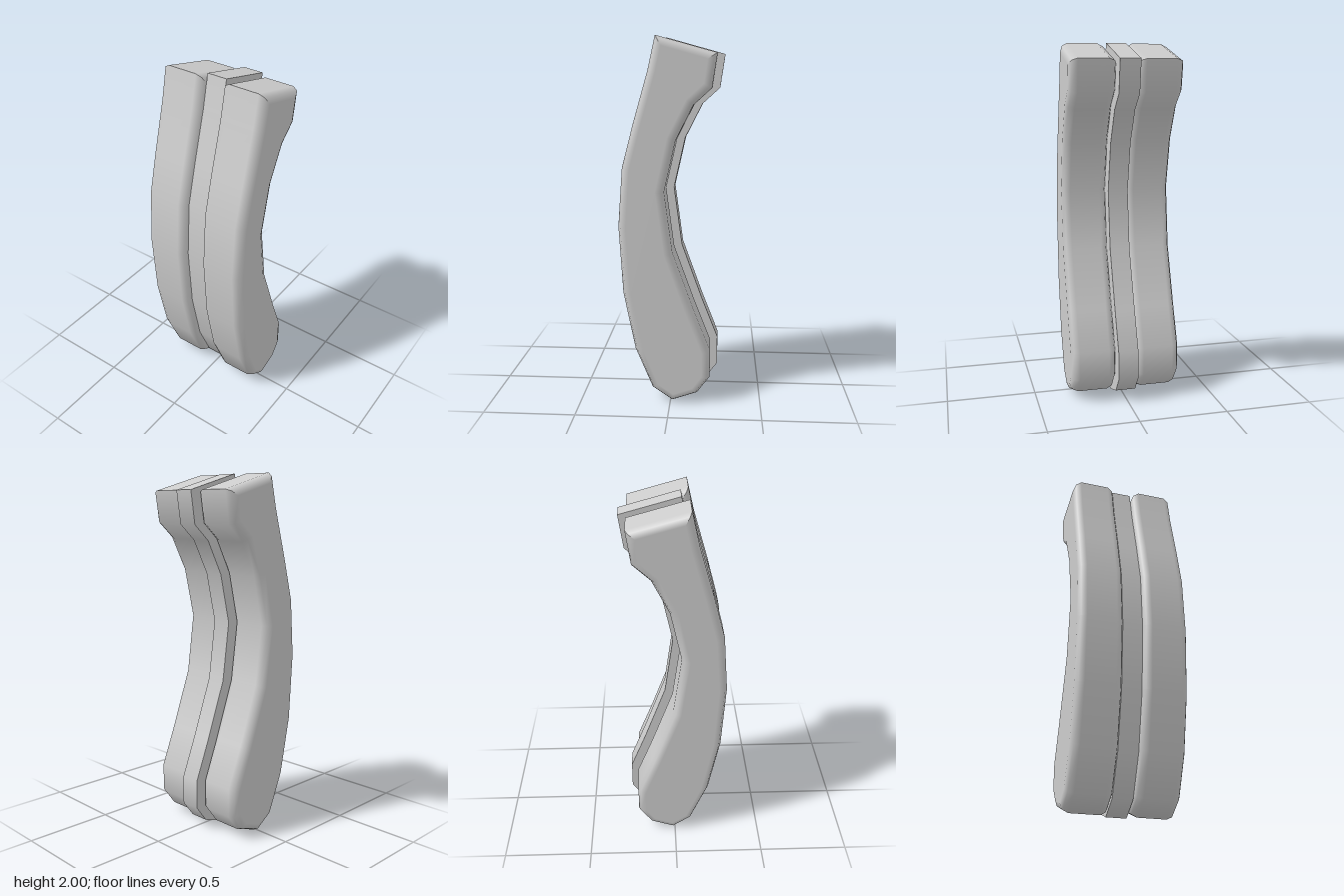
import * as THREE from 'three';

// Side outline as [z, y]: from the front top corner down, round the foot, up the back
const OUTLINE = [
  [0.08, 2], [0.12, 1.82], [0.2, 1.54], [0.26, 1.31], [0.283, 0.99], [0.26, 0.62],
  [0.195, 0.3], [0.1, 0.075], [-0.01, 0], [-0.148, 0.048], [-0.217, 0.14], [-0.217, 0.3],
  [-0.13, 0.52], [-0.01, 0.85], [0.035, 1.18], [-0.027, 1.457], [-0.122, 1.643],
  [-0.218, 1.73], [-0.245, 1.91],
].map(([z, y]) => new THREE.Vector2(z, y));

// Rounded side edge: distance in from the side, outline inset, normal angle
const ROUNDED = [[0, 0.045, 0], [0.014, 0.014, Math.PI / 4], [0.045, 0, Math.PI / 2]];
const SQUARE = [[0, 0, Math.PI / 2]];

// Extrudes the outline from x0 to x1, with the given edge section on both sides
function slab(x0, x1, edge) {
  const n = OUTLINE.length;
  const edgeNormal = OUTLINE.map((p, i) => {
    const d = OUTLINE[(i + 1) % n].clone().sub(p);
    return new THREE.Vector2(-d.y, d.x).normalize();
  });
  const before = (i) => edgeNormal[(i + n - 1) % n];
  const smooth = OUTLINE.map((_, i) => before(i).clone().add(edgeNormal[i]).normalize());
  // Mitred inset of one outline point
  const inset = (i, d) => OUTLINE[i].clone().addScaledVector(smooth[i], -d / smooth[i].dot(edgeNormal[i]));

  const rows = [
    ...edge.map(([dx, d, a]) => [x1 - dx, d, a, 1]),
    ...edge.map(([dx, d, a]) => [x0 + dx, d, a, -1]).reverse(),
  ];
  const pos = [], nor = [], index = [];
  const add = (x, p, nx, nz, ny) => {
    pos.push(x, p.y, p.x);
    nor.push(nx, ny, nz);
  };
  const strip = (columns) => {
    const base = pos.length / 3, m = rows.length;
    for (const [i, v] of columns) {
      for (const [x, d, a, s] of rows) {
        add(x, inset(i, d), s * Math.cos(a), v.x * Math.sin(a), v.y * Math.sin(a));
      }
    }
    for (let j = 0; j < columns.length - 1; j++) {
      for (let k = 0; k < m - 1; k++) {
        const a = base + j * m + k, b = a + 1, c = b + m, d = a + m;
        index.push(a, b, c, a, c, d);
      }
    }
  };
  // Smooth wrap round front, foot and back, then the sharp-edged top
  strip(OUTLINE.map((_, i) => [i, i === 0 ? edgeNormal[0] : i === n - 1 ? before(i) : smooth[i]]));
  strip([[n - 1, edgeNormal[n - 1]], [0, edgeNormal[n - 1]]]);

  // Flat sides
  const ring = OUTLINE.map((_, i) => inset(i, edge[0][1]));
  const faces = THREE.ShapeUtils.triangulateShape(ring.map((p) => new THREE.Vector2(-p.x, p.y)), []);
  for (const [x, s] of [[x1, 1], [x0, -1]]) {
    const base = pos.length / 3;
    ring.forEach((p) => add(x, p, s, 0, 0));
    for (const [a, b, c] of faces) {
      index.push(base + a, base + (s > 0 ? b : c), base + (s > 0 ? c : b));
    }
  }

  const g = new THREE.BufferGeometry();
  g.setAttribute('position', new THREE.Float32BufferAttribute(pos, 3));
  g.setAttribute('normal', new THREE.Float32BufferAttribute(nor, 3));
  g.setIndex(index);
  return g;
}

export function createModel() {
  const group = new THREE.Group();
  group.name = 'curvedGrip';
  const grey = new THREE.MeshStandardMaterial({ color: 0xcccccc });
  grey.name = 'light grey';

  const part = (name, geometry) => {
    const mesh = new THREE.Mesh(geometry, grey);
    mesh.name = name;
    group.add(mesh);
    return mesh;
  };

  // Two rounded side panels
  part('leftPanel', slab(0.056, 0.314, ROUNDED));
  part('rightPanel', slab(-0.314, -0.056, ROUNDED));

  // Square core between them, set back from the front
  part('core', slab(-0.057, 0.057, SQUARE)).position.z = -0.041;

  return group;
}
